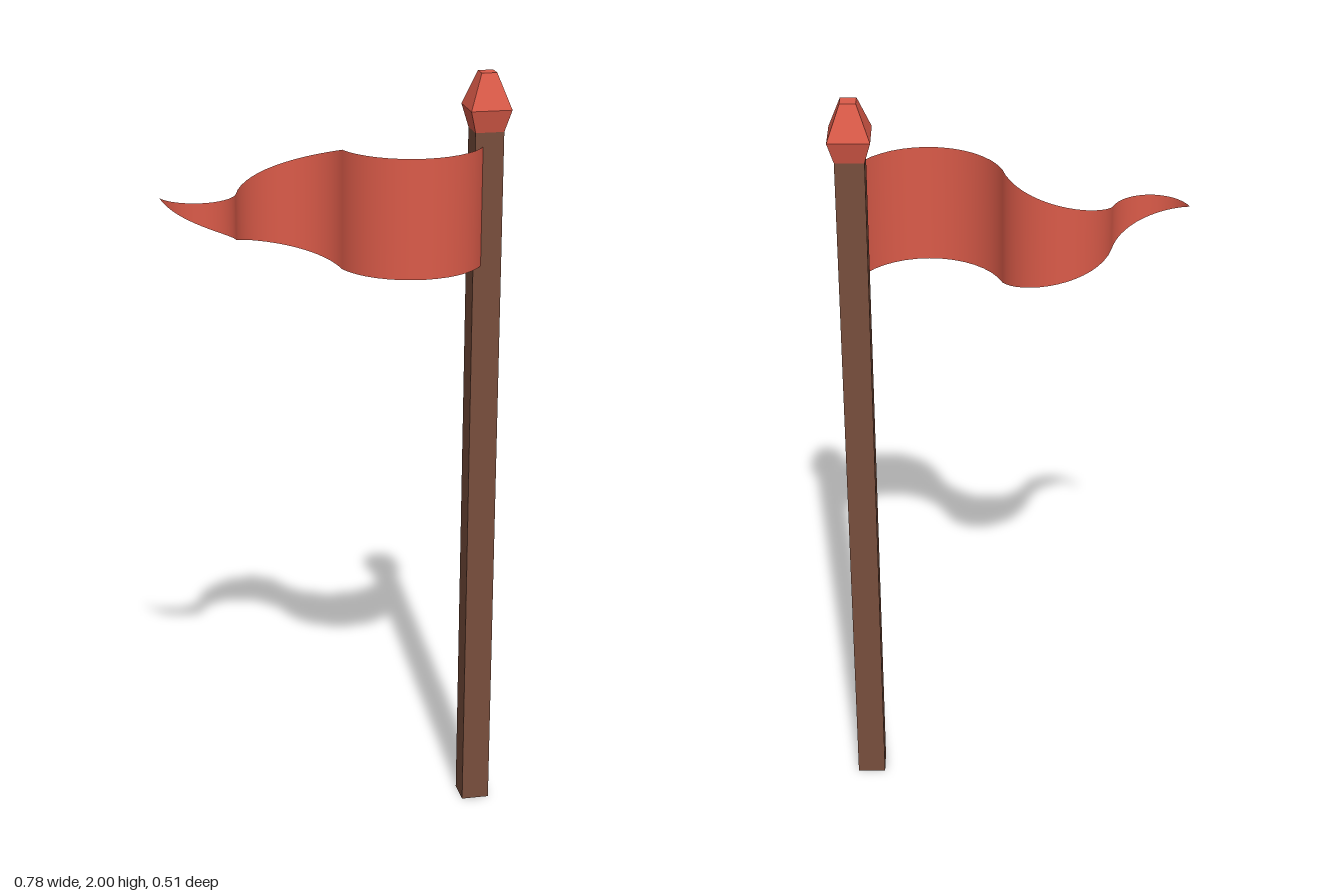
import * as THREE from 'three';

const red = new THREE.MeshStandardMaterial({ color: 0xdb5b49 });
red.name = 'red cloth and cap';
red.side = THREE.DoubleSide;
const brown = new THREE.MeshStandardMaterial({ color: 0x784e3c });
brown.name = 'brown wood';

// Square frustum with flat faces, given side lengths and the y range
function frustum(name, topSide, bottomSide, y0, y1, material) {
  const k = Math.SQRT1_2;
  let geo = new THREE.CylinderGeometry(topSide * k, bottomSide * k, y1 - y0, 4);
  geo.rotateY(Math.PI / 4).translate(0, (y0 + y1) / 2, 0);
  geo = geo.toNonIndexed();
  geo.computeVertexNormals();
  const mesh = new THREE.Mesh(geo, material);
  mesh.name = name;
  return mesh;
}

// Pennant: three shrinking arcs alternating sides, tapering to a point
function pennant() {
  const waves = [
    { length: 0.365, top: [1.82, 1.82], bottom: [1.515, 1.515] },
    { length: 0.267, top: [1.82, 1.72], bottom: [1.515, 1.605] },
    { length: 0.188, top: [1.72, 1.72], bottom: [1.605, 1.72] },
  ];
  const half = THREE.MathUtils.degToRad(72);
  const steps = 16;
  const positions = [], normals = [], index = [];
  let start = 0;
  waves.forEach((w, i) => {
    const side = i % 2 ? -1 : 1;
    const radius = w.length / 2 / Math.sin(half);
    for (let s = i ? 1 : 0; s <= steps; s++) {
      const t = s / steps;
      const a = -half + 2 * half * t;
      const x = -(start + w.length / 2 + radius * Math.sin(a));
      const z = side * radius * (Math.cos(a) - Math.cos(half));
      for (const [from, to] of [w.top, w.bottom]) {
        positions.push(x, THREE.MathUtils.lerp(from, to, t), z);
        normals.push(-side * Math.sin(a) * side, 0, Math.cos(a));
      }
    }
    start += w.length;
  });
  for (let i = 0; i < positions.length / 3 - 2; i += 2) {
    index.push(i, i + 2, i + 1, i + 1, i + 2, i + 3);
  }
  const geo = new THREE.BufferGeometry();
  geo.setAttribute('position', new THREE.Float32BufferAttribute(positions, 3));
  geo.setIndex(index);
  // Normals follow the curve and face local +z, matching the winding
  for (let i = 0; i < normals.length; i += 3) {
    const wave = Math.min(2, Math.floor(Math.max(0, i / 6 - 1) / steps));
    if (wave === 1) normals[i] *= -1;
  }
  geo.setAttribute('normal', new THREE.Float32BufferAttribute(normals, 3));
  const mesh = new THREE.Mesh(geo, red);
  mesh.name = 'pennant';
  return mesh;
}

export function createModel() {
  const model = new THREE.Group();
  model.name = 'flagpole';

  // Everything is turned 30 degrees about the pole
  const mast = new THREE.Group();
  mast.name = 'mast';
  mast.position.set(0.32, 0, -0.186);
  mast.rotation.y = Math.PI / 6;
  mast.add(
    frustum('pole', 0.073, 0.073, 0, 1.855, brown),
    frustum('finialBase', 0.104, 0.073, 1.855, 1.912, red),
    frustum('finialTip', 0.039, 0.104, 1.912, 2, red),
    pennant(),
  );
  model.add(mast);
  return model;
}
